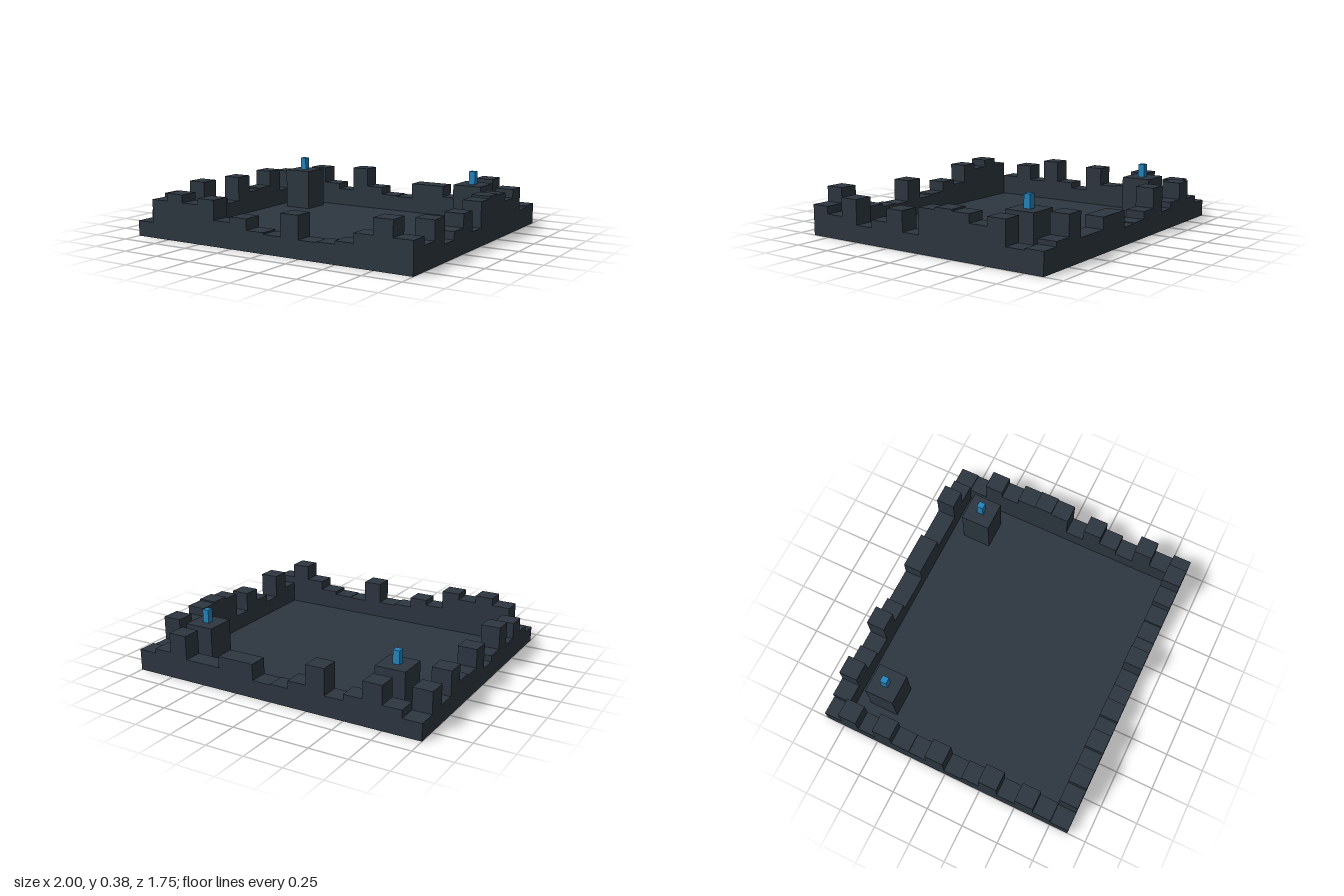
import * as THREE from 'three';

const slate = new THREE.MeshStandardMaterial({ color: 0x2d3640 });
slate.name = 'dark slate';
const blue = new THREE.MeshStandardMaterial({ color: 0x2384bd });
blue.name = 'bright blue';

const CELL = 0.125, WIDTH = 2, DEPTH = 1.75, FLOOR = 0.01;

// Wall block heights: rows run from -x to +x, columns from back to front (corners in rows)
const frontHeights = [0.1, 0.25, 0.3, 0.25, 0.29, 0.165, 0.2, 0.13, 0.12, 0.26, 0.115, 0.12, 0.14, 0.2, 0.3, 0.2];
const backHeights = [0.11, 0.16, 0.28, 0.17, 0.13, 0.3, 0.17, 0.12, 0.115, 0.22, 0.22, 0.145, 0.145, 0.3, 0.17, 0.14];
const leftHeights = [0.13, 0.285, 0.23, 0.285, 0.295, 0.28, 0.115, 0.245, 0.16, 0.11, 0.27, 0.15];
const rightHeights = [0.25, 0.12, 0.28, 0.17, 0.16, 0.28, 0.11, 0.15, 0.295, 0.14, 0.245, 0.15];

// Box standing between two heights
function block(name, material, x, z, w, d, bottom, top) {
  const mesh = new THREE.Mesh(new THREE.BoxGeometry(w, top - bottom, d), material);
  mesh.name = name;
  mesh.position.set(x, (bottom + top) / 2, z);
  return mesh;
}

// Row of wall blocks; place(i) gives the centre of block i
function wall(name, heights, place) {
  const group = new THREE.Group();
  group.name = name;
  heights.forEach((h, i) => {
    const [x, z] = place(i);
    group.add(block('wallBlock', slate, x, z, CELL, CELL, FLOOR, h));
  });
  return group;
}

export function createModel() {
  const model = new THREE.Group();
  model.name = 'walledArena';

  // Thin floor slab
  model.add(block('floor', slate, 0, 0, WIDTH, DEPTH, 0, FLOOR));

  // Uneven perimeter walls
  const edgeX = (WIDTH - CELL) / 2, edgeZ = (DEPTH - CELL) / 2;
  const alongX = (i) => -edgeX + i * CELL;
  const alongZ = (i) => -edgeZ + (i + 1) * CELL;
  model.add(
    wall('frontWall', frontHeights, (i) => [alongX(i), edgeZ]),
    wall('backWall', backHeights, (i) => [alongX(i), -edgeZ]),
    wall('leftWall', leftHeights, (i) => [edgeX, alongZ(i)]),
    wall('rightWall', rightHeights, (i) => [-edgeX, alongZ(i)])
  );

  // Two towers with beacons
  for (const side of [-1, 1]) {
    const tower = new THREE.Group();
    tower.name = side > 0 ? 'leftTower' : 'rightTower';
    const x = side * 0.6875, z = -0.565;
    tower.add(block('towerBody', slate, x, z, 0.198, 0.198, FLOOR, 0.288));
    tower.add(block('beacon', blue, x, z, 0.044, 0.044, 0.288, 0.375));
    model.add(tower);
  }
  return model;
}
